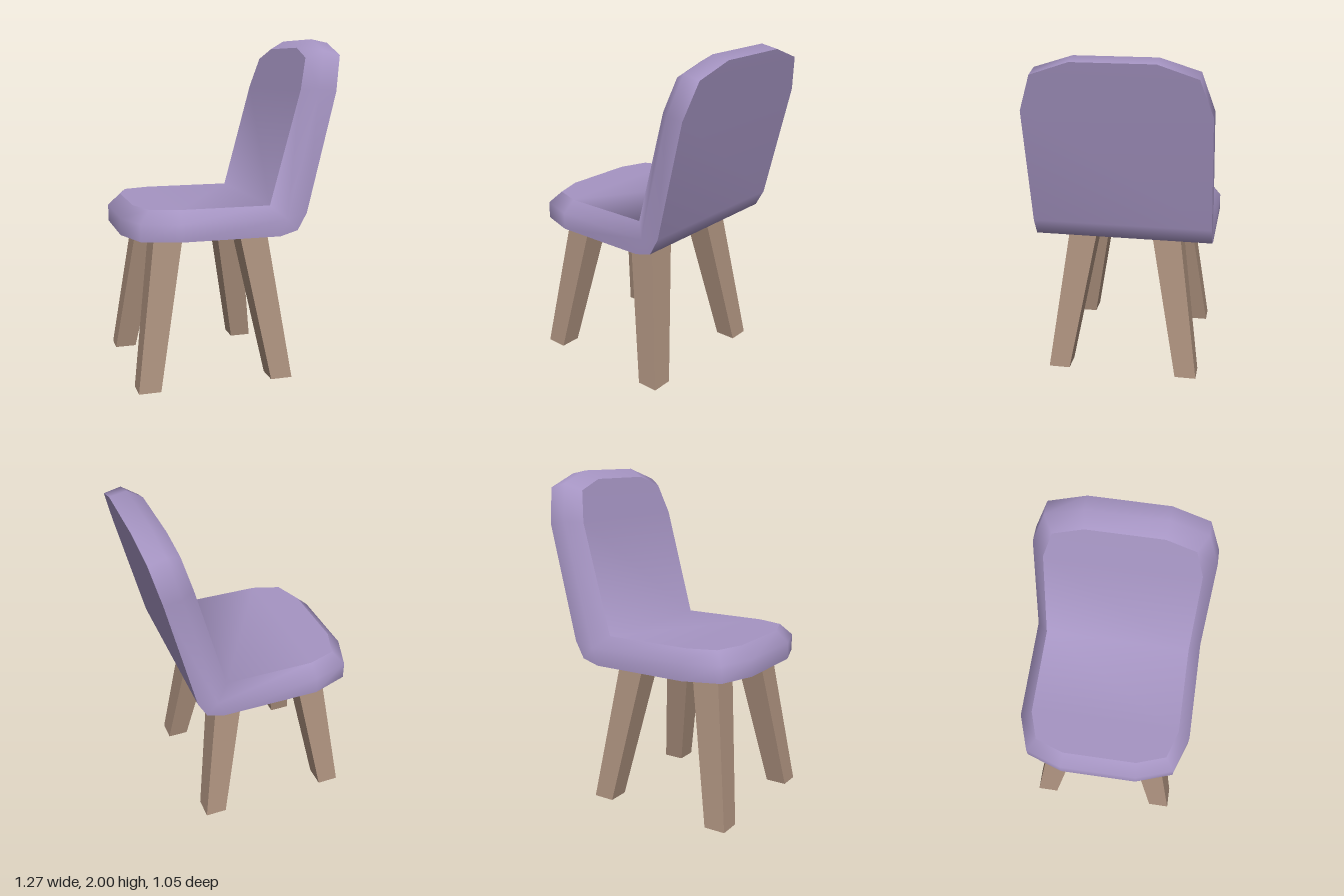
import * as THREE from 'three';
import { mergeVertices } from 'three/addons/utils/BufferGeometryUtils.js';

// Shell stations from the seat's front edge to the top of the back:
// under edge x,y / middle edge x,y / inner edge x,y / outer and inner half width
const STATIONS = [
  [-0.635, 0.88, -0.635, 0.98, -0.56, 1.05, 0.23, 0.22],
  [-0.56, 0.88, -0.56, 0.98, -0.5, 1.05, 0.45, 0.395],
  [-0.345, 0.88, -0.345, 0.98, -0.335, 1.05, 0.523, 0.45],
  [0.24, 0.88, 0.28, 0.98, 0.2, 1.05, 0.523, 0.45],
  [0.345, 0.91, 0.28, 0.98, 0.2, 1.05, 0.523, 0.45],
  [0.4, 1.01, 0.28, 0.98, 0.2, 1.05, 0.523, 0.45],
  [0.565, 1.7, 0.463, 1.715, 0.378, 1.71, 0.523, 0.45],
  [0.615, 1.905, 0.514, 1.93, 0.426, 1.89, 0.45, 0.395],
  [0.632, 1.98, 0.53, 2.0, 0.442, 1.95, 0.23, 0.22],
];

// Point of a station: row 0 under, 1 middle, 2 inner; side is +1 or -1
const point = (s, row, side) => [s[row * 2], s[row * 2 + 1], side * (row === 2 ? s[7] : s[6])];

// Smooth surface through columns of points
function loft(columns, closed = false) {
  const rows = columns[0].length;
  const index = [];
  const count = closed ? columns.length : columns.length - 1;
  for (let j = 0; j < count; j++) {
    const k = (j + 1) % columns.length;
    for (let r = 0; r < rows - 1; r++) {
      const a = j * rows + r, b = k * rows + r;
      index.push(a, b, b + 1, a, b + 1, a + 1);
    }
  }
  const geometry = new THREE.BufferGeometry();
  geometry.setAttribute('position', new THREE.Float32BufferAttribute(columns.flat(2), 3));
  geometry.setIndex(index);
  const merged = mergeVertices(geometry);
  merged.computeVertexNormals();
  return merged;
}

// Square leg that leans and widens from foot to top
function legGeometry(foot, top, height) {
  const geometry = new THREE.BoxGeometry(1, 1, 1);
  const p = geometry.attributes.position;
  for (let i = 0; i < p.count; i++) {
    const end = p.getY(i) > 0 ? top : foot;
    p.setXYZ(i, end.x + p.getX(i) * end.size, p.getY(i) > 0 ? height : 0, end.z + p.getZ(i) * end.size);
  }
  geometry.computeVertexNormals();
  return geometry;
}

export function createModel() {
  const chair = new THREE.Group();
  chair.name = 'chair';
  const lavender = new THREE.MeshStandardMaterial({ color: 0xa594c2 });
  lavender.name = 'lavender';
  const wood = new THREE.MeshStandardMaterial({ color: 0xab907d });
  wood.name = 'wood';

  const add = (name, geometry, material) => {
    const mesh = new THREE.Mesh(geometry, material);
    mesh.name = name;
    chair.add(mesh);
  };

  // One-piece shell: sitting surface, outer surface and the bevelled rim around both
  add('sittingSurface', loft(STATIONS.map((s) => [point(s, 2, 1), point(s, 2, -1)])), lavender);
  add('outerSurface', loft(STATIONS.map((s) => [point(s, 0, -1), point(s, 0, 1)])), lavender);
  const rimSide = (side) => STATIONS.map((s) => [0, 1, 2].map((row) => point(s, row, side)));
  add('rim', loft([...rimSide(1), ...rimSide(-1).reverse()], true), lavender);

  // Four splayed legs
  for (const sx of [-1, 1]) {
    for (const sz of [-1, 1]) {
      const foot = { x: -0.125 + sx * 0.4, z: 0.015 + sz * 0.4, size: 0.13 };
      const top = { x: -0.125 + sx * 0.255, z: 0.015 + sz * 0.255, size: 0.17 };
      add((sx < 0 ? 'front' : 'back') + (sz < 0 ? 'Right' : 'Left') + 'Leg', legGeometry(foot, top, 0.885), wood);
    }
  }
  return chair;
}
